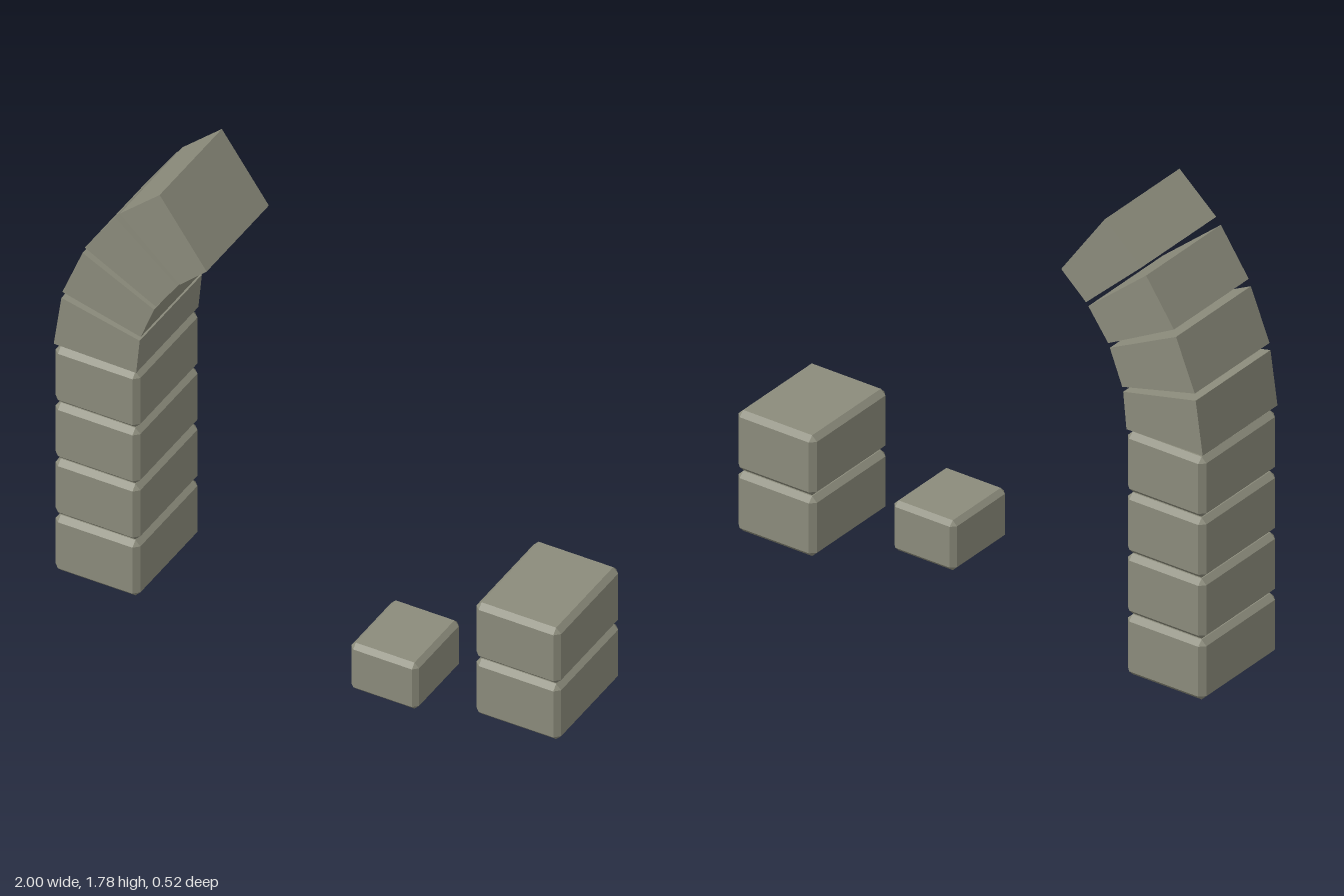
import * as THREE from 'three';
import { ConvexGeometry } from 'three/addons/geometries/ConvexGeometry.js';

const stone = new THREE.MeshStandardMaterial({ color: 0x8c8c7c });
stone.name = 'weathered stone';

// Box with every edge and corner chamfered by c
function chamferedBlock(name, min, max, c) {
  const half = min.map((v, i) => (max[i] - v) / 2);
  const points = [];
  for (const sx of [-1, 1]) for (const sy of [-1, 1]) for (const sz of [-1, 1]) {
    for (let full = 0; full < 3; full++) {
      const p = [sx, sy, sz].map((s, i) => s * (half[i] - (i === full ? 0 : c)));
      points.push(new THREE.Vector3(...p));
    }
  }
  const mesh = new THREE.Mesh(new ConvexGeometry(points), stone);
  mesh.name = name;
  mesh.position.set(...min.map((v, i) => (v + max[i]) / 2));
  return mesh;
}

// Stack of equal chamfered blocks
function pillar(name, x0, x1, count) {
  const group = new THREE.Group();
  group.name = name;
  const pitch = 0.242;
  for (let i = 0; i < count; i++) {
    group.add(chamferedBlock(name + 'Block' + (i + 1),
      [x0, i * pitch, -0.263], [x1, i * pitch + 0.238, 0.175], 0.02));
  }
  return group;
}

export function createModel() {
  const model = new THREE.Group();
  model.name = 'ruinedArch';

  // Standing pillar, broken pillar and fallen block
  model.add(pillar('tallPillar', -1, -0.665, 4));
  model.add(pillar('brokenPillar', 0.665, 1, 2));
  model.add(chamferedBlock('fallenBlock', [0.22, 0, -0.052], [0.488, 0.198, 0.262], 0.018));

  // Wedge stones of the broken arch: outer base, inner base, inner top, outer top
  const wedges = [
    [[-0.997, 0.981], [-0.671, 0.976], [-0.657, 1.12], [-0.967, 1.19]],
    [[-0.963, 1.217], [-0.653, 1.138], [-0.6, 1.275], [-0.883, 1.415]],
    [[-0.874, 1.441], [-0.593, 1.291], [-0.508, 1.409], [-0.755, 1.615]],
    [[-0.735, 1.64], [-0.498, 1.421], [-0.392, 1.517], [-0.578, 1.778]],
  ];
  const arch = new THREE.Group();
  arch.name = 'brokenArch';
  wedges.forEach((corners, i) => {
    const shape = new THREE.Shape(corners.map(([x, y]) => new THREE.Vector2(x, y)));
    const geometry = new THREE.ExtrudeGeometry(shape, { depth: 0.434, bevelEnabled: false });
    const mesh = new THREE.Mesh(geometry, stone);
    mesh.name = 'archWedge' + (i + 1);
    mesh.position.z = -0.26;
    arch.add(mesh);
  });
  model.add(arch);

  return model;
}
